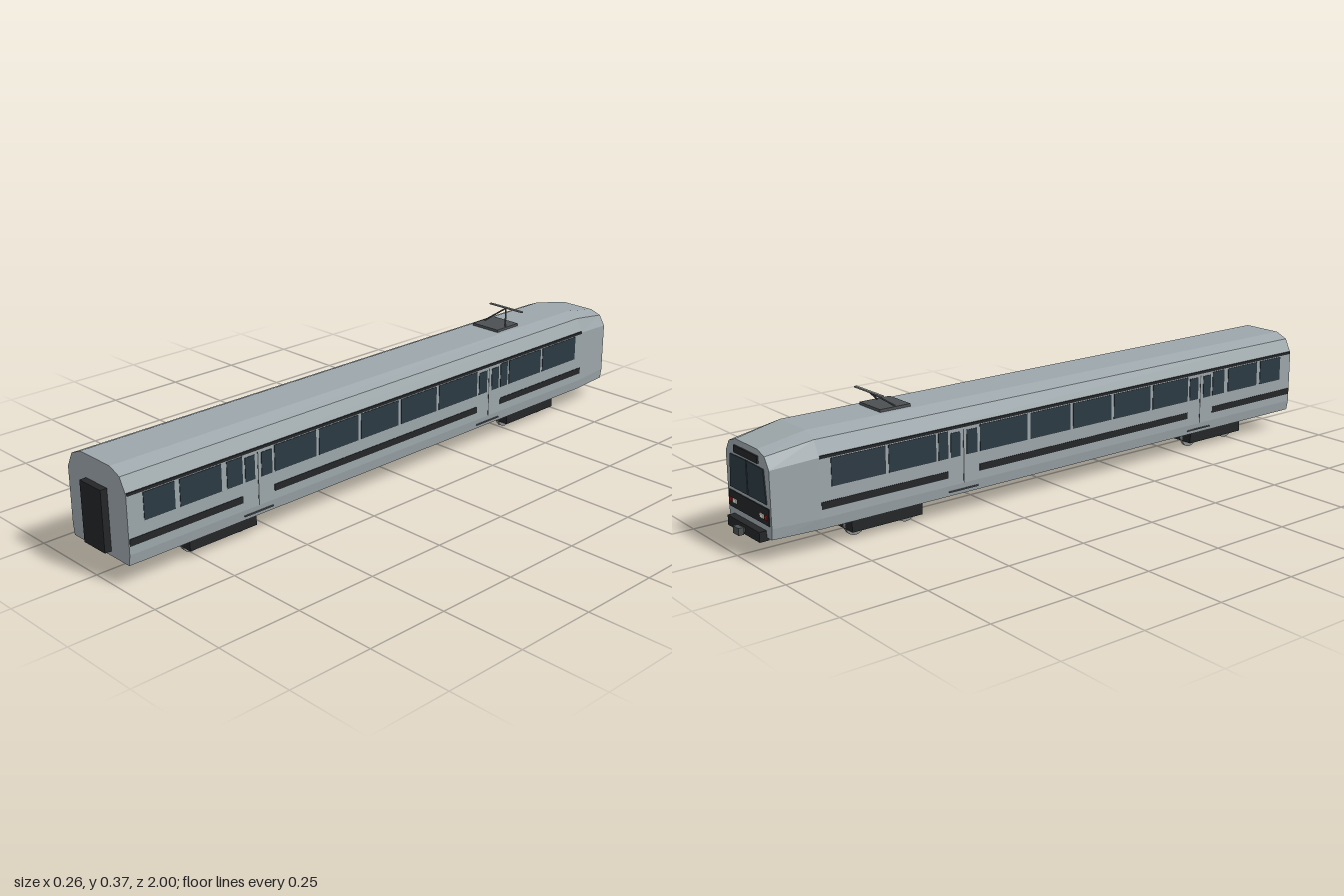
import * as THREE from 'three';

const mat = (color) => new THREE.MeshStandardMaterial({ color, flatShading: true });

export function createModel() {
  const train = new THREE.Group();
  const shell = mat(0x9ca6aa), dark = mat(0x242628), glass = mat(0x2c3a43);
  const frame = mat(0x4c5052), steel = mat(0x8a8c8c), under = mat(0x38393b);
  const white = mat(0xe8e8e0), red = mat(0xa02020);

  const add = (name, geometry, material, parent = train) => {
    const mesh = new THREE.Mesh(geometry, material);
    mesh.name = name;
    parent.add(mesh);
    return mesh;
  };
  // Box given by its limits on each axis
  const box = (name, [x0, x1], [y0, y1], [z0, z1], material, parent) => {
    const m = add(name, new THREE.BoxGeometry(Math.abs(x1 - x0), Math.abs(y1 - y0), Math.abs(z1 - z0)), material, parent);
    m.position.set((x0 + x1) / 2, (y0 + y1) / 2, (z0 + z1) / 2);
    return m;
  };
  // Round bar between two points
  const rod = (name, a, b, r, material, parent) => {
    const p = new THREE.Vector3(...a), q = new THREE.Vector3(...b);
    const m = add(name, new THREE.CylinderGeometry(r, r, p.distanceTo(q), 8), material, parent);
    m.position.copy(p).add(q).multiplyScalar(0.5);
    m.quaternion.setFromUnitVectors(new THREE.Vector3(0, 1, 0), q.sub(p).normalize());
  };

  // Body shell: half profiles (bottom to roof) mirrored and lofted along z
  const full = [[0.122, 0.064], [0.127, 0.095], [0.127, 0.26], [0.105, 0.303], [0.065, 0.32]];
  const cab = [[0.11, 0.064], [0.114, 0.095], [0.114, 0.25], [0.094, 0.282], [0.058, 0.294]];
  const ring = (half) => [...half, ...half.map(([x, y]) => [-x, y]).reverse()];
  const sections = [[full, 0.98], [full, -0.82], [cab, -0.957]];
  const n = full.length * 2, pos = [], idx = [];
  sections.forEach(([half, z]) => ring(half).forEach(([x, y]) => pos.push(x, y, z)));
  for (let s = 0; s < sections.length - 1; s++) {
    for (let j = 0; j < n; j++) {
      const a = s * n + j, b = s * n + (j + 1) % n, c = b + n, d = a + n;
      idx.push(a, d, c, a, c, b);
    }
  }
  const last = (sections.length - 1) * n;
  for (let j = 1; j < n - 1; j++) idx.push(0, j, j + 1, last, last + j + 1, last + j);
  let body = new THREE.BufferGeometry();
  body.setAttribute('position', new THREE.Float32BufferAttribute(pos, 3));
  body.setIndex(idx);
  body = body.toNonIndexed();
  body.computeVertexNormals();
  add('bodyShell', body, shell);

  // Side windows, doors and trim on both sides
  const windows = [[0.93, 0.834], [0.818, 0.684], [0.666, 0.614], [0.503, 0.353], [0.342, 0.193], [0.182, 0.032],
    [0.021, -0.128], [-0.139, -0.308], [-0.417, -0.449], [-0.457, -0.61], [-0.62, -0.786]];
  const doorWindows = [[0.605, 0.572], [0.549, 0.512], [-0.318, -0.354], [-0.376, -0.408]];
  const stripes = [[0.978, 0.615], [0.505, -0.31], [-0.418, -0.818]];
  for (const s of [1, -1]) {
    const side = new THREE.Group();
    side.name = s > 0 ? 'leftSide' : 'rightSide';
    train.add(side);
    const skin = [s * 0.125, s * 0.1285];
    windows.forEach((z) => box('sideWindow', skin, [0.176, 0.253], z, glass, side));
    doorWindows.forEach((z) => box('doorWindow', skin, [0.176, 0.246], z, glass, side));
    stripes.forEach((z) => box('lowerStripe', skin, [0.119, 0.139], z, dark, side));
    box('eaveStripe', skin, [0.256, 0.264], [0.978, -0.818], dark, side);
    for (const z of [0.56, -0.364]) {
      box('doorSeam', [s * 0.125, s * 0.1275], [0.095, 0.25], [z - 0.0015, z + 0.0015], frame, side);
      box('doorStep', [s * 0.12, s * 0.127], [0.075, 0.079], [z - 0.05, z + 0.05], frame, side);
    }
  }

  // Gangway at the coupled end
  box('gangway', [-0.046, 0.046], [0.078, 0.253], [0.975, 1], dark);

  // Cab face
  const face = new THREE.Group();
  face.name = 'cabFace';
  train.add(face);
  for (const s of [1, -1]) {
    const pane = new THREE.Shape([[0.002, 0.156], [0.096, 0.156], [0.088, 0.248], [0.002, 0.25]]
      .map(([x, y]) => new THREE.Vector2(s * x, y)));
    add('windscreen', new THREE.ExtrudeGeometry(pane, { depth: 0.005, bevelEnabled: false }), glass, face).position.z = -0.96;
    box('headlight', [s * 0.062, s * 0.082], [0.115, 0.126], [-0.955, -0.963], white, face);
    box('tailLight', [s * 0.088, s * 0.1], [0.115, 0.126], [-0.955, -0.963], red, face);
  }
  box('destinationBox', [-0.062, 0.062], [0.257, 0.277], [-0.95, -0.962], dark, face);
  box('lampPanel', [-0.106, 0.106], [0.1, 0.146], [-0.95, -0.96], dark, face);
  box('bumper', [-0.085, 0.085], [0.055, 0.083], [-0.95, -0.978], dark, face);
  box('couplerShaft', [-0.009, 0.009], [0.062, 0.074], [-0.97, -0.99], frame, face);
  box('couplerHead', [-0.015, 0.015], [0.058, 0.078], [-0.985, -1], frame, face);

  // Underframe and bogies
  box('underfloorBox', [-0.092, 0.092], [0.053, 0.066], [0.39, -0.363], under);
  for (const z of [0.662, -0.6]) {
    const bogie = new THREE.Group();
    bogie.name = 'bogie';
    bogie.position.z = z;
    train.add(bogie);
    box('bogieFrame', [-0.1, 0.1], [0.023, 0.06], [-0.113, 0.113], dark, bogie);
    box('bogieMount', [-0.06, 0.06], [0.058, 0.068], [-0.05, 0.05], under, bogie);
    for (const x of [-0.061, 0.061]) for (const wz of [-0.082, 0.082]) {
      const wheel = add('wheel', new THREE.CylinderGeometry(0.032, 0.032, 0.01, 20), steel, bogie);
      wheel.rotation.z = Math.PI / 2;
      wheel.position.set(x, 0.032, wz);
    }
  }

  // Pantograph
  const panto = new THREE.Group();
  panto.name = 'pantograph';
  train.add(panto);
  box('pantographBase', [-0.051, 0.051], [0.317, 0.328], [-0.485, -0.583], frame, panto);
  for (const s of [1, -1]) rod('pantographArm', [s * 0.044, 0.328, -0.53], [0, 0.367, -0.583], 0.0025, frame, panto);
  box('contactBar', [-0.067, 0.067], [0.366, 0.37], [-0.58, -0.588], steel, panto);

  return train;
}
